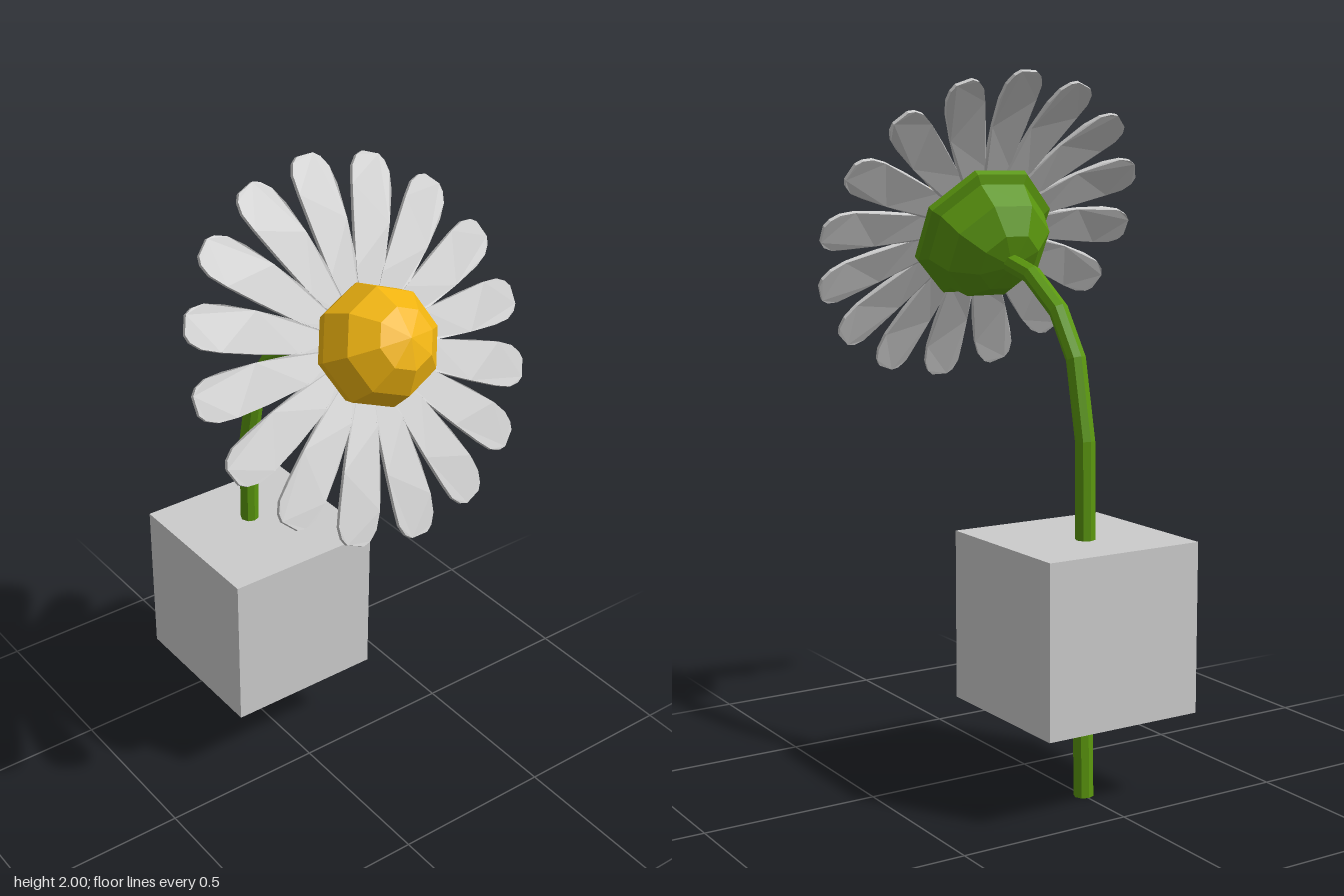
import * as THREE from 'three';

const mat = (color) => new THREE.MeshStandardMaterial({ color, flatShading: true });
const grey = mat(0xcccccc);
const green = mat(0x5a960e);
const yellow = mat(0xf0b410);
green.side = THREE.DoubleSide;

function part(name, geometry, material, parent) {
  const mesh = new THREE.Mesh(geometry, material);
  mesh.name = name;
  parent.add(mesh);
  return mesh;
}

// Piecewise linear path whose kinks fall exactly on the tube's rings
class Polyline extends THREE.Curve {
  constructor(points) {
    super();
    this.points = points;
  }
  getPoint(t, target = new THREE.Vector3()) {
    const n = this.points.length - 1;
    const i = Math.min(Math.floor(t * n + 1e-6), n - 1);
    return target.lerpVectors(this.points[i], this.points[i + 1], t * n - i);
  }
  getPointAt(t, target) {
    return this.getPoint(t, target);
  }
  getTangentAt(t, target = new THREE.Vector3()) {
    const d = 0.3 / (this.points.length - 1);
    const a = this.getPoint(Math.max(0, t - d));
    return target.copy(this.getPoint(Math.min(1, t + d))).sub(a).normalize();
  }
}

// Thin petal along +y with a blunt rounded tip that bends slightly backwards
function petalGeometry() {
  const half = [[0.08, 0.015], [0.2, 0.042], [0.33, 0.055], [0.42, 0.06], [0.47, 0.057], [0.5, 0.043], [0.514, 0.025]];
  const outline = [
    ...half.map(([r, w]) => new THREE.Vector2(w, r)),
    ...half.slice().reverse().map(([r, w]) => new THREE.Vector2(-w, r)),
  ];
  const geo = new THREE.ExtrudeGeometry(new THREE.Shape(outline), { depth: 0.012, bevelEnabled: false });
  const p = geo.attributes.position;
  for (let i = 0; i < p.count; i++) {
    const r = p.getY(i);
    const bend = 0.012 * Math.sin(Math.PI * Math.min(1, r / 0.5)) - 0.1 * Math.max(0, r - 0.42);
    p.setZ(i, p.getZ(i) - 0.006 + bend);
  }
  geo.computeVertexNormals();
  return geo;
}

export function createModel() {
  const model = new THREE.Group();
  model.name = 'potted flower';

  // Cube that the stem passes through
  part('cube', new THREE.BoxGeometry(0.48, 0.48, 0.48), grey, model).position.set(0, 0.49, -0.26);

  // Stem, arching forward into the back of the head; pairs are [y, z]
  const path = [[0, -0.307], [0.3, -0.3], [0.7, -0.31], [1, -0.306], [1.22, -0.26],
    [1.345, -0.175], [1.435, -0.04], [1.465, 0.08], [1.5, 0.14]]
    .map(([y, z]) => new THREE.Vector3(0, y, z));
  part('stem', new THREE.TubeGeometry(new Polyline(path), path.length - 1, 0.028, 8, false), green, model);
  const base = part('stemBase', new THREE.CircleGeometry(0.028, 8), green, model);
  base.rotation.x = Math.PI / 2;
  base.position.set(0, 0.001, -0.307);

  // Flower head, tilted up by 30 degrees, facing local +z
  const head = new THREE.Group();
  head.name = 'flowerHead';
  head.position.set(0, 1.555, 0.24);
  head.rotation.x = -Math.PI / 6;
  model.add(head);

  // Domed centre
  const ball = new THREE.SphereGeometry(0.167, 8, 6).rotateX(Math.PI / 2);
  part('flowerCentre', ball, yellow, head).position.z = 0.054;

  // Green cup with a flared rim behind the petals
  const profile = [[0, -0.205], [0.095, -0.185], [0.163, -0.125], [0.188, -0.045],
    [0.215, -0.032], [0.217, -0.012], [0.15, -0.012]]
    .map(([r, y]) => new THREE.Vector2(r, y));
  const cup = new THREE.LatheGeometry(profile, 8, Math.PI / 8).rotateX(Math.PI / 2);
  part('cup', cup, green, head);

  // Ring of petals
  const petal = petalGeometry();
  for (let i = 0; i < 16; i++) {
    part('petal', petal, grey, head).rotation.z = (i * Math.PI) / 8;
  }
  return model;
}
